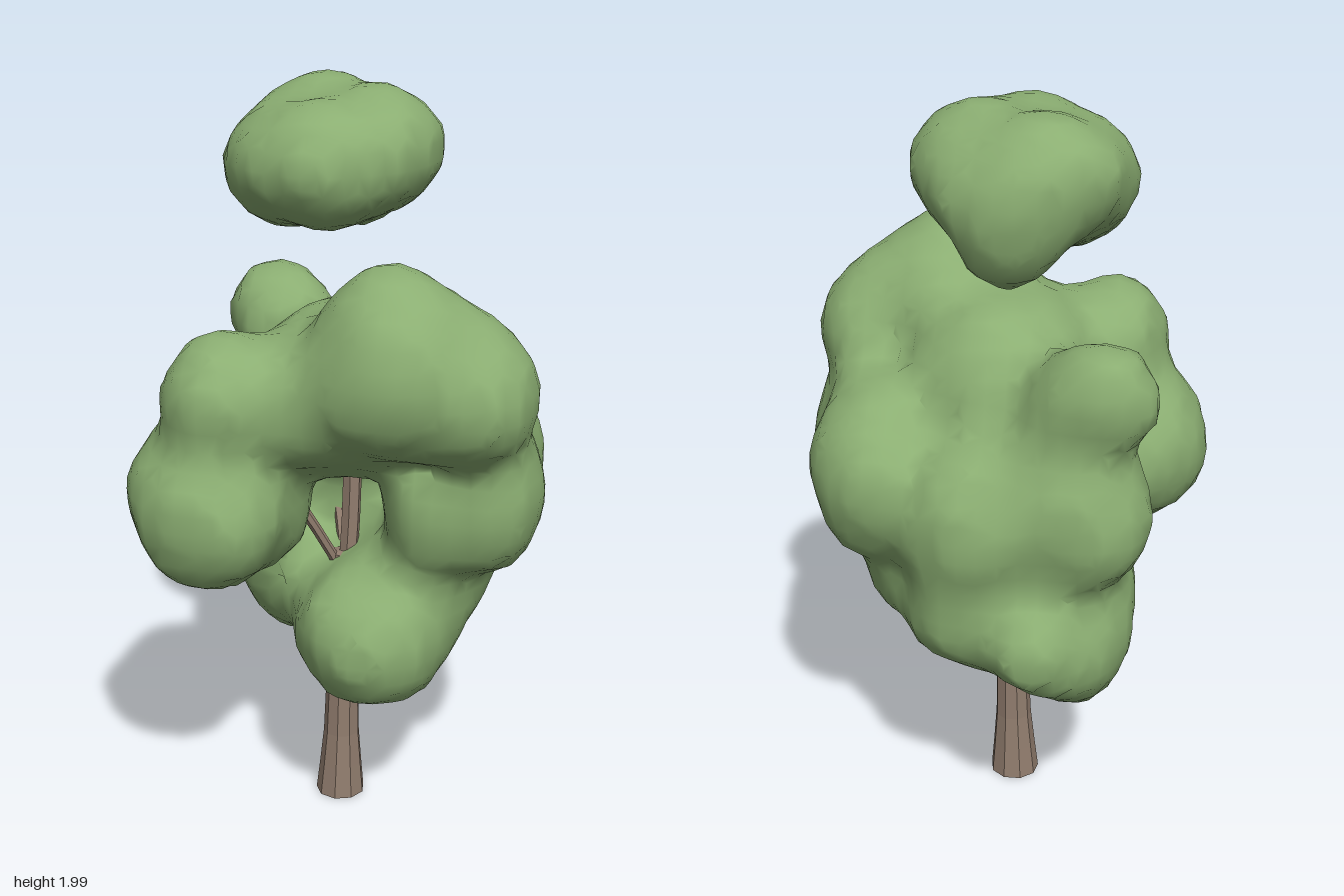
import * as THREE from 'three';

const leafMat = new THREE.MeshStandardMaterial({ color: 0x8bae72 });
leafMat.name = 'leafGreen';
const barkMat = new THREE.MeshStandardMaterial({ color: 0x917d6e });
barkMat.name = 'barkBrown';

// Leaf lobes: centre x, y, z, then radii x, y, z
const canopyLobes = [
  [-0.32, 0.97, 0.23, 0.22, 0.23, 0.23],   // front left
  [-0.29, 0.95, 0.36, 0.17, 0.18, 0.13],
  [-0.21, 0.91, 0.14, 0.12, 0.16, 0.13],
  [-0.27, 1.25, 0.26, 0.15, 0.17, 0.19],   // above front left
  [-0.05, 1.24, 0.22, 0.17, 0.18, 0.18],   // front bridge
  [0.18, 1.35, 0.25, 0.23, 0.23, 0.23],    // front right, high
  [0.14, 1.48, 0.25, 0.11, 0.12, 0.11],
  [0.37, 1.28, 0.21, 0.15, 0.18, 0.19],
  [0.0, 1.22, 0.02, 0.25, 0.24, 0.25],     // crown centre
  [0.3, 1.0, -0.06, 0.2, 0.26, 0.28],      // right side
  [0.4, 0.98, 0.12, 0.13, 0.2, 0.16],
  [0.25, 0.92, 0.12, 0.13, 0.18, 0.15],
  [-0.28, 1.32, -0.29, 0.14, 0.14, 0.13],  // back left, high
  [-0.2, 1.22, -0.22, 0.15, 0.16, 0.15],
  [-0.12, 0.97, -0.24, 0.25, 0.25, 0.18],  // back
  [-0.25, 0.99, -0.28, 0.16, 0.18, 0.14],
  [0.07, 0.95, -0.29, 0.15, 0.21, 0.14],
  [-0.21, 0.61, -0.21, 0.15, 0.21, 0.18],  // low back
  [-0.24, 0.7, -0.12, 0.13, 0.15, 0.16],
  [-0.12, 0.64, -0.35, 0.12, 0.13, 0.14],
  [0.05, 0.7, -0.22, 0.19, 0.2, 0.18],
  [0.0, 0.56, -0.04, 0.18, 0.16, 0.2],
  [0.09, 0.57, 0.13, 0.21, 0.2, 0.21],     // low front
  [0.2, 0.7, -0.02, 0.17, 0.18, 0.2],
];
const topLobes = [
  [-0.06, 1.8, -0.08, 0.26, 0.16, 0.29],
  [-0.14, 1.86, -0.22, 0.17, 0.125, 0.15],
  [-0.05, 1.72, -0.26, 0.13, 0.14, 0.12],
  [-0.2, 1.78, -0.03, 0.13, 0.14, 0.17],
  [0.06, 1.86, -0.06, 0.14, 0.11, 0.18],
  [-0.06, 1.81, 0.1, 0.14, 0.14, 0.12],
];

// Smoothly blended distance to a set of ellipsoids, with gentle bumps
function field(lobes, x, y, z) {
  const k = 0.08;
  let d = 10;
  for (const [cx, cy, cz, rx, ry, rz] of lobes) {
    const a = (x - cx) / rx, b = (y - cy) / ry, c = (z - cz) / rz;
    const k0 = Math.hypot(a, b, c);
    const k1 = Math.hypot(a / rx, b / ry, c / rz) || 1e-6;
    const e = k0 < 1e-4 ? -Math.min(rx, ry, rz) : k0 * (k0 - 1) / k1;
    const h = Math.max(k - Math.abs(d - e), 0) / k;
    d = Math.min(d, e) - h * h * k / 4;
  }
  return d + 0.012 * Math.sin(19 * x + 5 * y) * Math.sin(17 * y + 2) * Math.sin(18 * z + 4 * x);
}

// Surface net over a grid: one vertex per crossed cell, one quad per crossed edge
function foliage(lobes, min, max, cell) {
  const n = min.map((v, i) => Math.ceil((max[i] - v) / cell) + 1);
  const id = (p) => p[0] + n[0] * (p[1] + n[1] * p[2]);
  const at = (p) => p.map((v, i) => min[i] + v * cell);
  const values = [], positions = [], indices = [], vertexOf = new Map();
  const each = (fn) => {
    for (let k = 0; k < n[2]; k++)
      for (let j = 0; j < n[1]; j++)
        for (let i = 0; i < n[0]; i++) fn([i, j, k]);
  };
  each((p) => { values[id(p)] = field(lobes, ...at(p)); });

  each((p) => {
    if (p.some((v, i) => v >= n[i] - 1)) return;
    const sum = [0, 0, 0];
    let count = 0;
    for (let c = 0; c < 8; c++) {
      const q = [p[0] + (c & 1), p[1] + ((c >> 1) & 1), p[2] + ((c >> 2) & 1)];
      for (let a = 0; a < 3; a++) {
        if (c & (1 << a)) continue;
        const r = q.slice();
        r[a]++;
        const v0 = values[id(q)], v1 = values[id(r)];
        if ((v0 < 0) === (v1 < 0)) continue;
        q.forEach((v, i) => { sum[i] += v + (i === a ? v0 / (v0 - v1) : 0); });
        count++;
      }
    }
    if (!count) return;
    vertexOf.set(id(p), positions.length / 3);
    positions.push(...at(sum.map((v) => v / count)));
  });

  each((p) => {
    for (let a = 0; a < 3; a++) {
      const b = (a + 1) % 3, c = (a + 2) % 3;
      if (p[a] >= n[a] - 1 || p[b] < 1 || p[c] < 1) continue;
      const r = p.slice();
      r[a]++;
      const inside = values[id(p)] < 0;
      if (inside === (values[id(r)] < 0)) continue;
      const quad = [[1, 1], [0, 1], [0, 0], [1, 0]].map(([db, dc]) => {
        const q = p.slice();
        q[b] -= db;
        q[c] -= dc;
        return vertexOf.get(id(q));
      });
      if (!inside) quad.reverse();
      indices.push(quad[0], quad[1], quad[2], quad[0], quad[2], quad[3]);
    }
  });

  const g = new THREE.BufferGeometry();
  g.setAttribute('position', new THREE.Float32BufferAttribute(positions, 3));
  g.setIndex(indices);
  g.computeVertexNormals();
  return g;
}

// Faceted copy of a geometry
function faceted(g) {
  const f = g.toNonIndexed();
  f.computeVertexNormals();
  return f;
}

export function createModel() {
  const tree = new THREE.Group();
  tree.name = 'tree';
  const add = (name, geometry, material) => {
    const mesh = new THREE.Mesh(geometry, material);
    mesh.name = name;
    tree.add(mesh);
  };

  // Flared trunk, leaning slightly
  const profile = [[0, 0], [0.068, 0], [0.059, 0.09], [0.05, 0.19], [0.044, 0.4], [0.039, 0.74], [0, 0.75]]
    .map(([r, y]) => new THREE.Vector2(r, y));
  const trunk = new THREE.LatheGeometry(profile, 9);
  const pos = trunk.attributes.position;
  for (let i = 0; i < pos.count; i++) {
    pos.setX(i, pos.getX(i) - 0.034 + 0.02 * pos.getY(i));
    pos.setZ(i, pos.getZ(i) + 0.007);
  }
  add('trunk', faceted(trunk), barkMat);

  // Branches fanning out into the leaves: end point and thickness
  const branches = [
    [0.0, 1.1, 0.0, 0.026],
    [-0.2, 1.05, 0.14, 0.014],
    [0.26, 0.97, 0.1, 0.014],
    [-0.12, 1.0, -0.2, 0.016],
    [0.2, 0.95, -0.12, 0.014],
  ];
  for (const [x, y, z, r] of branches) {
    const path = new THREE.QuadraticBezierCurve3(
      new THREE.Vector3(-0.018, 0.66, 0.007),
      new THREE.Vector3(x * 0.35, 0.8, z * 0.35),
      new THREE.Vector3(x, y, z));
    add('branch', faceted(new THREE.TubeGeometry(path, 5, r, 6)), barkMat);
  }

  // Main canopy and the separate tuft above it
  add('canopy', foliage(canopyLobes, [-0.66, 0.28, -0.62], [0.66, 1.72, 0.62], 0.05), leafMat);
  add('topTuft', foliage(topLobes, [-0.45, 1.48, -0.52], [0.33, 2.1, 0.34], 0.05), leafMat);
  return tree;
}
